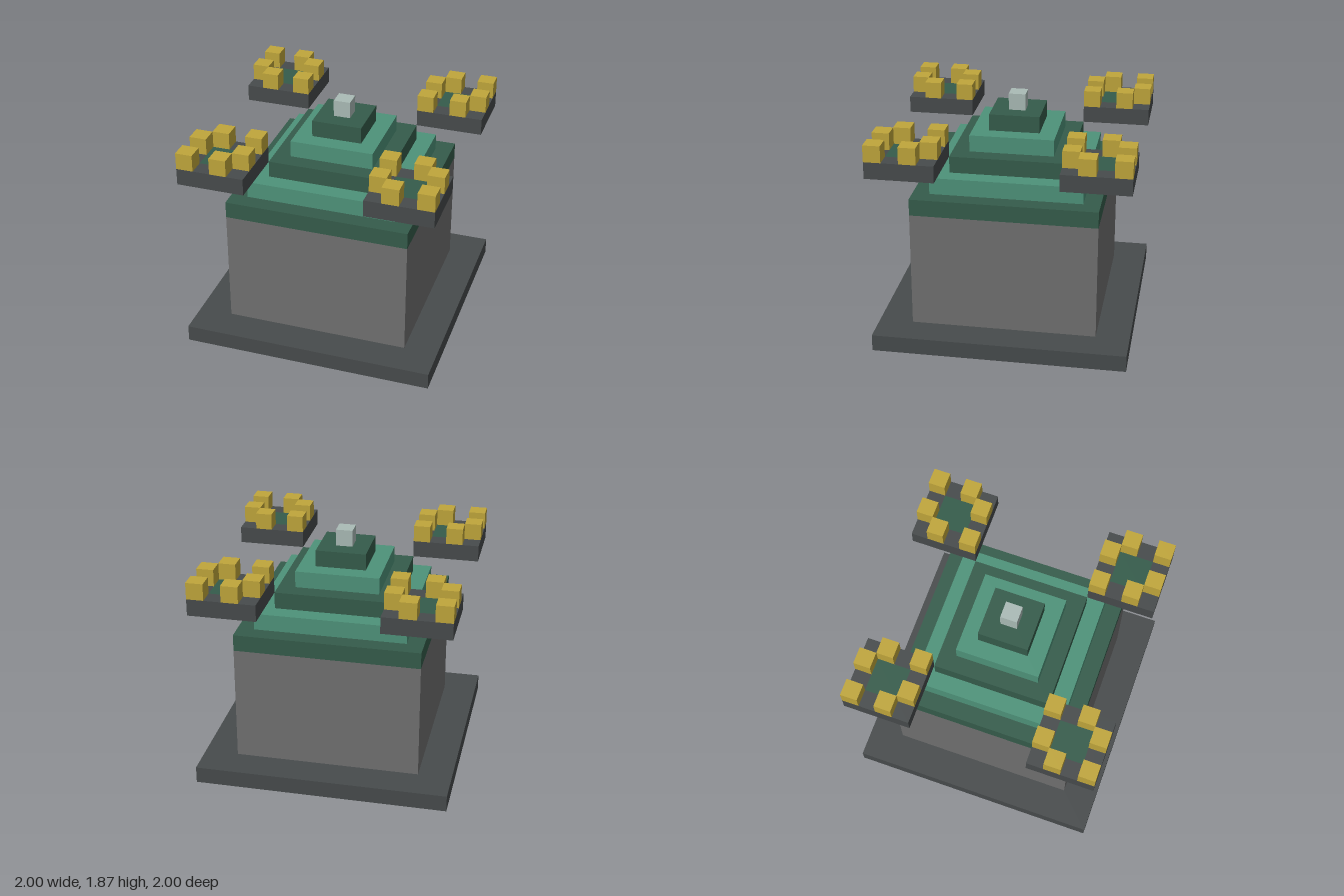
import * as THREE from 'three';

const U = 2 / 15; // one block

function material(name, color) {
  const m = new THREE.MeshStandardMaterial({ color });
  m.name = name;
  return m;
}

// Box sized in blocks, standing on level y
function block(name, mat, width, height, x, y, z) {
  const mesh = new THREE.Mesh(new THREE.BoxGeometry(width * U, height * U, width * U), mat);
  mesh.name = name;
  mesh.position.set(x * U, (y + height / 2) * U, z * U);
  return mesh;
}

// Square path, half-width h blocks
function square(path, h) {
  const s = h * U;
  path.moveTo(-s, -s);
  path.lineTo(s, -s);
  path.lineTo(s, s);
  path.lineTo(-s, s);
  path.closePath();
  return path;
}

export function createModel() {
  const charcoal = material('charcoal', 0x474b4c);
  const stone = material('stone grey', 0x707070);
  const darkGreen = material('dark green', 0x355c4b);
  const lightGreen = material('light green', 0x4e937a);
  const gold = material('gold', 0xc0a63b);
  const pale = material('pale grey', 0xaabbb6);

  const model = new THREE.Group();
  model.name = 'steppedRoofTower';

  // Plinth and walls
  model.add(block('plinth', charcoal, 15, 1, 0, 0, 0));
  model.add(block('walls', stone, 11, 7, 0, 1, 0));

  // Stepped roof in alternating greens, with a finial
  const roof = new THREE.Group();
  roof.name = 'roof';
  for (let i = 0; i < 5; i++) {
    roof.add(block('roofStep' + (i + 1), i % 2 ? lightGreen : darkGreen, 11 - 2 * i, 1, 0, 8 + i, 0));
  }
  roof.add(block('finial', pale, 1, 1, 0, 13, 0));
  model.add(roof);

  // Floating corner platforms: rim, inset centre and six gold blocks
  const frame = square(new THREE.Shape(), 2);
  frame.holes.push(square(new THREE.Path(), 1));
  const rimGeometry = new THREE.ExtrudeGeometry(frame, { depth: U, bevelEnabled: false });
  rimGeometry.rotateX(-Math.PI / 2);

  // Block cells counted outward from the inner corner of each platform
  const cells = [[0, 0], [2, 0], [3, 1], [0, 2], [1, 3], [3, 3]];

  for (const sx of [-1, 1]) {
    for (const sz of [-1, 1]) {
      const platform = new THREE.Group();
      platform.name = (sz > 0 ? 'front' : 'back') + (sx > 0 ? 'Left' : 'Right') + 'Platform';
      platform.position.set(sx * 5.5 * U, 11 * U, sz * 5.5 * U);

      const rim = new THREE.Mesh(rimGeometry, charcoal);
      rim.name = 'platformRim';
      platform.add(rim);
      platform.add(block('platformCentre', darkGreen, 2, 1, 0, 0, 0));
      for (const [cx, cz] of cells) {
        platform.add(block('goldBlock', gold, 1, 1, sx * (cx - 1.5), 1, sz * (cz - 1.5)));
      }
      model.add(platform);
    }
  }
  return model;
}
